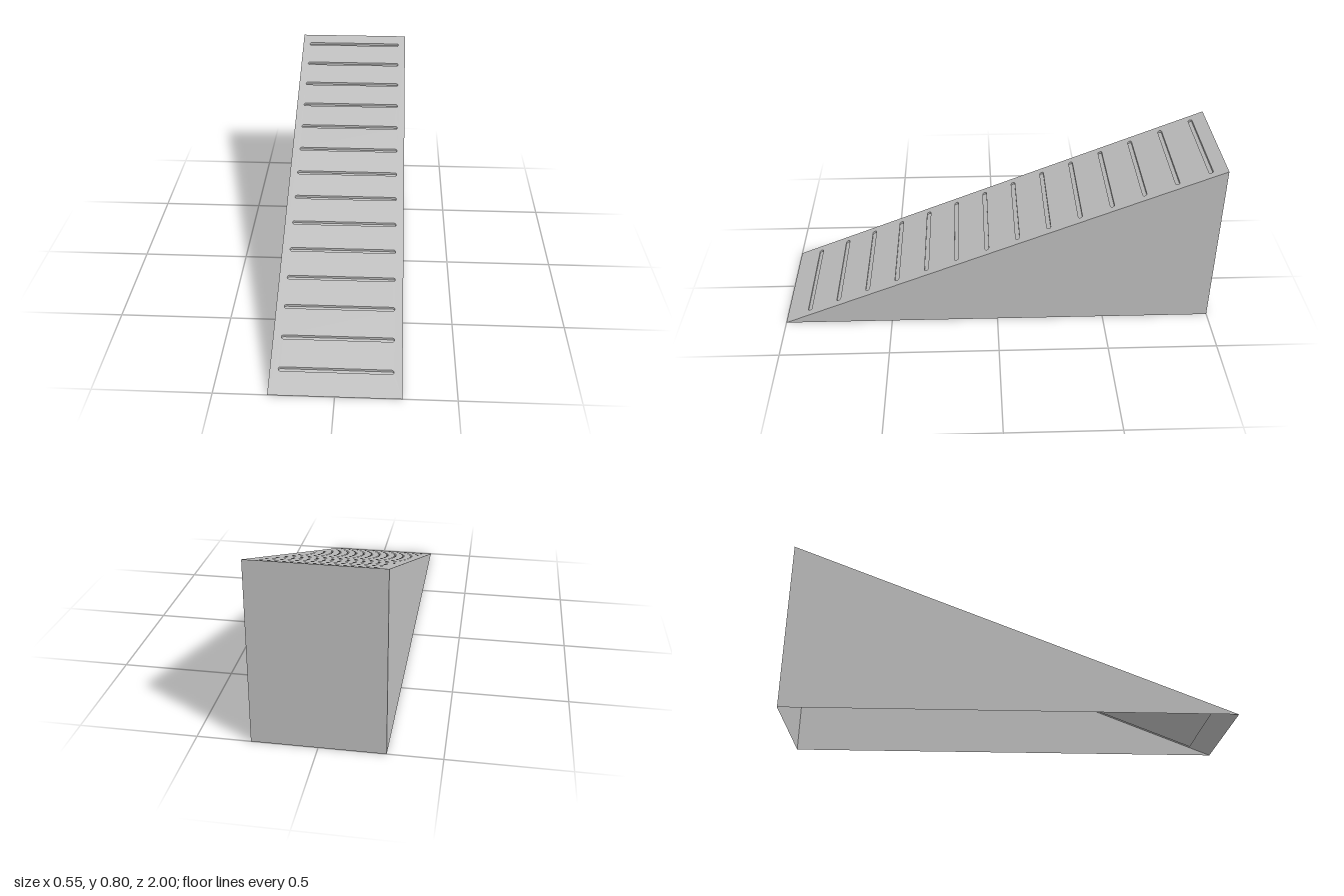
import * as THREE from 'three';

const HALF_W = 0.275, RISE = 0.4;          // half width, height gained per unit of depth
const SLOTS = 14, SLOT_HALF = 0.24, SLOT_R = 0.009, SLOT_DEPTH = 0.01;

// Plan coordinates (x, w) with w = -z, laid onto the slope and dropped by d.
const onSlope = (x, w, d = 0) => new THREE.Vector3(x, RISE * (1 + w) - d, -w);

// Flat sheet in plan, sheared onto the slope.
function slopeSheet(shape, drop) {
  const g = new THREE.ShapeGeometry(shape, 4);
  const p = g.attributes.position;
  for (let i = 0; i < p.count; i++) {
    const v = onSlope(p.getX(i), p.getY(i), drop);
    p.setXYZ(i, v.x, v.y, v.z);
  }
  g.computeVertexNormals();
  return g;
}

// Convex polygon as a triangle fan.
function polygon(corners) {
  const pts = [];
  for (let i = 1; i < corners.length - 1; i++) pts.push(corners[0], corners[i], corners[i + 1]);
  const g = new THREE.BufferGeometry().setFromPoints(pts);
  g.computeVertexNormals();
  return g;
}

// Vertical walls hanging from a closed plan outline on the slope.
function hangingWalls(outline, depth) {
  const pts = [];
  outline.forEach((a, i) => {
    const b = outline[(i + 1) % outline.length];
    const at = onSlope(a.x, a.y), bt = onSlope(b.x, b.y);
    const ab = onSlope(a.x, a.y, depth), bb = onSlope(b.x, b.y, depth);
    pts.push(at, bt, ab, bt, bb, ab);
  });
  const g = new THREE.BufferGeometry().setFromPoints(pts);
  g.computeVertexNormals();
  return g;
}

// Rounded-end slot outline, counter-clockwise.
function slotOutline(w) {
  const pts = [], n = 6, cx = SLOT_HALF - SLOT_R;
  for (const side of [1, -1]) {
    for (let i = 0; i <= n; i++) {
      const a = -Math.PI / 2 + Math.PI * i / n;
      pts.push(new THREE.Vector2(side * (cx + SLOT_R * Math.cos(a)), w + side * SLOT_R * Math.sin(a)));
    }
  }
  return pts;
}

const rect = (hw, w0, w1) => [[-hw, w0], [hw, w0], [hw, w1], [-hw, w1]].map(([x, w]) => new THREE.Vector2(x, w));

export function createModel() {
  const group = new THREE.Group();
  const grey = new THREE.MeshStandardMaterial({ color: 0xc0c0c0, side: THREE.DoubleSide });
  grey.name = 'lightGrey';
  const add = (name, geometry) => {
    const m = new THREE.Mesh(geometry, grey);
    m.name = name;
    group.add(m);
  };

  // Sloping deck with a row of grip slots
  const deck = new THREE.Shape(rect(HALF_W, -1, 1));
  const slotW = i => -1 + (0.0443 + 0.0561 * i) / RISE;
  for (let i = 0; i < SLOTS; i++) {
    const outline = slotOutline(slotW(i));
    deck.holes.push(new THREE.Path(outline));
    add('gripSlotWall' + (i + 1), hangingWalls(outline, SLOT_DEPTH));
  }
  add('rampDeck', slopeSheet(deck, 0));

  // Shallow tray under the deck that closes the slots
  const tray = rect(SLOT_HALF, slotW(0) - SLOT_R, slotW(SLOTS - 1) + SLOT_R);
  add('slotFloor', slopeSheet(new THREE.Shape(tray), SLOT_DEPTH));
  add('slotFloorRim', hangingWalls(tray, SLOT_DEPTH));

  // Triangular sides and back wall; the underside is open
  const V = (x, y, z) => new THREE.Vector3(x, y, z);
  add('leftSide', polygon([V(HALF_W, 0, 1), V(HALF_W, 0, -1), V(HALF_W, 0.8, -1)]));
  add('rightSide', polygon([V(-HALF_W, 0, -1), V(-HALF_W, 0, 1), V(-HALF_W, 0.8, -1)]));
  add('backWall', polygon([V(HALF_W, 0, -1), V(-HALF_W, 0, -1), V(-HALF_W, 0.8, -1), V(HALF_W, 0.8, -1)]));

  return group;
}
